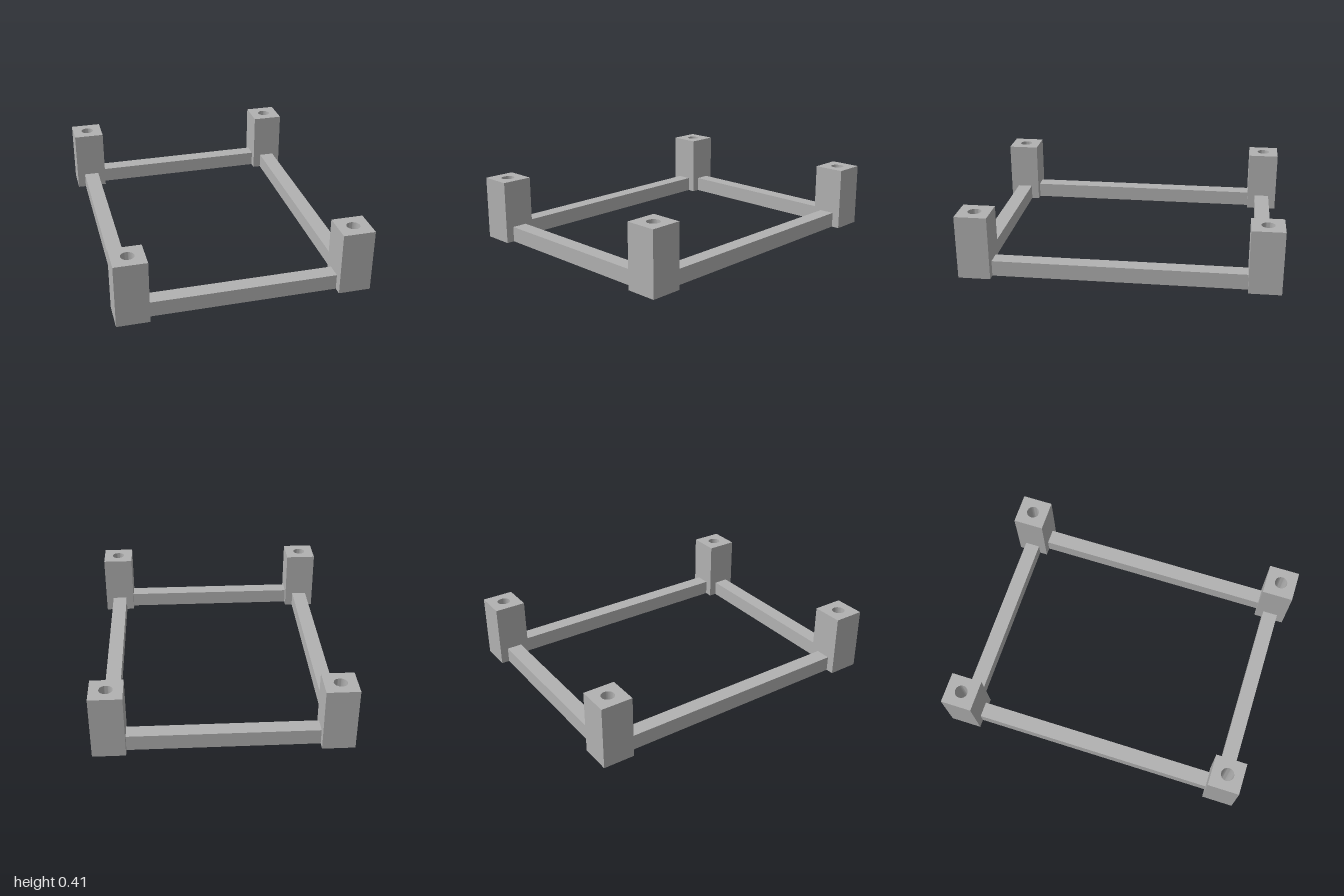
import * as THREE from 'three';
import { toCreasedNormals } from 'three/addons/utils/BufferGeometryUtils.js';

export function createModel() {
  const model = new THREE.Group();
  model.name = 'cornerPostFrame';

  const grey = new THREE.MeshStandardMaterial({ color: 0xb2b2b2 });
  grey.name = 'grey';

  const postSize = 0.204, postHeight = 0.41, holeRadius = 0.042;
  const postX = 0.692, postZ = 0.898;
  const railSize = 0.1;

  // Square post with a round hole running its full height
  const h = postSize / 2;
  const section = new THREE.Shape([
    new THREE.Vector2(-h, -h), new THREE.Vector2(h, -h),
    new THREE.Vector2(h, h), new THREE.Vector2(-h, h),
  ]);
  const hole = new THREE.Path();
  hole.absarc(0, 0, holeRadius, 0, Math.PI * 2, true);
  section.holes.push(hole);
  const extruded = new THREE.ExtrudeGeometry(section, {
    depth: postHeight, bevelEnabled: false, curveSegments: 32,
  });
  extruded.rotateX(-Math.PI / 2);
  const postGeometry = toCreasedNormals(extruded, 0.6);

  // Rails spanning between the inner faces of the posts
  const crossGeometry = new THREE.BoxGeometry(2 * postX - postSize, railSize, railSize);
  const sideGeometry = new THREE.BoxGeometry(railSize, railSize, 2 * postZ - postSize);

  const add = (name, geometry, x, y, z) => {
    const mesh = new THREE.Mesh(geometry, grey);
    mesh.name = name;
    mesh.position.set(x, y, z);
    model.add(mesh);
  };

  for (const s of [-1, 1]) {
    const side = s > 0 ? 'left' : 'right';
    const end = s > 0 ? 'front' : 'back';
    add(`${end}Rail`, crossGeometry, 0, railSize / 2, s * postZ);
    add(`${side}Rail`, sideGeometry, s * postX, railSize / 2, 0);
    add(`${side}FrontPost`, postGeometry, s * postX, 0, postZ);
    add(`${side}BackPost`, postGeometry, s * postX, 0, -postZ);
  }

  return model;
}
